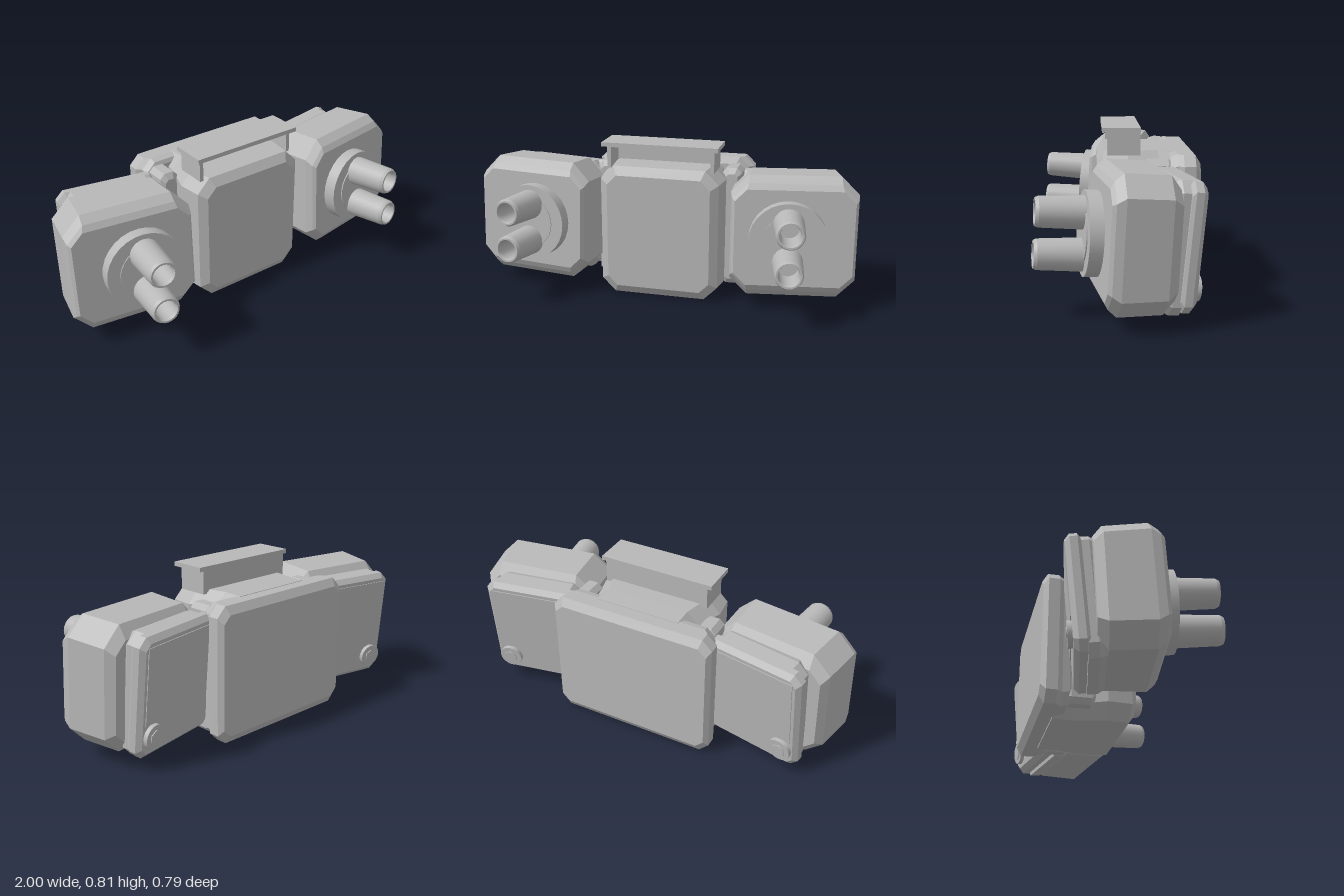
import * as THREE from 'three';

const grey = new THREE.MeshStandardMaterial({ color: 0xb8b8b8 });
grey.name = 'grey';

function add(parent, name, geometry, x = 0, y = 0, z = 0) {
  const mesh = new THREE.Mesh(geometry, grey);
  mesh.name = name;
  mesh.position.set(x, y, z);
  parent.add(mesh);
  return mesh;
}

// Block with chamfered corners: octagonal rings [z, width, height, corner], front to back
function chamferedBlock(rings) {
  const pos = [], index = [];
  for (const [z, w, h, c] of rings) {
    const a = w / 2, b = h / 2;
    const ring = [[a, -b + c], [a, b - c], [a - c, b], [-a + c, b],
      [-a, b - c], [-a, -b + c], [-a + c, -b], [a - c, -b]];
    for (const [x, y] of ring) pos.push(x, y, z);
  }
  const last = (rings.length - 1) * 8;
  for (let r = 0; r < last; r += 8) {
    for (let i = 0; i < 8; i++) {
      const j = (i + 1) % 8;
      index.push(r + i, r + 8 + i, r + j, r + j, r + 8 + i, r + 8 + j);
    }
  }
  for (let i = 1; i < 7; i++) index.push(0, i, i + 1, last, last + i + 1, last + i);
  const g = new THREE.BufferGeometry();
  g.setAttribute('position', new THREE.Float32BufferAttribute(pos, 3));
  g.setIndex(index);
  const flat = g.toNonIndexed();
  flat.computeVertexNormals();
  return flat;
}

// Disc facing along z
function disc(r1, r2, depth, sides) {
  return new THREE.CylinderGeometry(r1, r2, depth, sides).rotateX(Math.PI / 2);
}

// Hollow barrel pointing along +z
function barrel() {
  const profile = [[0.077, 0], [0.070, 0.22], [0.063, 0.235], [0.054, 0.235], [0.05, 0.22], [0.05, 0.08], [0, 0.08]];
  const pts = [];
  profile.forEach(([r, y], i) => {
    pts.push(new THREE.Vector2(r, y));
    // doubled points keep the rim edges crisp
    if (i > 0 && i < profile.length - 1) pts.push(new THREE.Vector2(r, y + 0.0001 * (i < 3 ? 1 : -1)));
  });
  return new THREE.LatheGeometry(pts, 24).rotateX(Math.PI / 2);
}

function sideGroup(parent, name, x, y, z, yaw, pitch) {
  const g = new THREE.Group();
  g.name = name;
  g.position.set(x, y, z);
  g.rotation.set(pitch, yaw, 0, 'YXZ');
  parent.add(g);
  return g;
}

export function createModel() {
  const model = new THREE.Group();
  model.name = 'model';

  // Central body and the wide cover behind it
  add(model, 'centreBody', chamferedBlock([
    [0.10, 0.54, 0.60, 0.05], [0.07, 0.62, 0.69, 0.07], [-0.05, 0.65, 0.695, 0.07],
    [-0.20, 0.56, 0.695, 0.06], [-0.30, 0.54, 0.69, 0.05]]), 0, 0.347, 0);
  add(model, 'backCover', chamferedBlock([
    [-0.24, 0.78, 0.62, 0.05], [-0.25, 0.80, 0.66, 0.05], [-0.285, 0.81, 0.68, 0.05],
    [-0.31, 0.86, 0.68, 0.05], [-0.365, 0.86, 0.68, 0.05], [-0.39, 0.82, 0.60, 0.04]]), 0, 0.35, 0);

  // Top bracket, open at the front
  add(model, 'topPlate', new THREE.BoxGeometry(0.605, 0.022, 0.187), 0, 0.8, -0.018);
  add(model, 'bracketBack', new THREE.BoxGeometry(0.55, 0.11, 0.03), 0, 0.735, -0.095);
  for (const s of [1, -1]) {
    add(model, 'bracketSide', new THREE.BoxGeometry(0.02, 0.12, 0.16), s * 0.27, 0.735, -0.03);
  }

  for (const s of [1, -1]) {
    const side = s > 0 ? 'left' : 'right';

    // Hinge post between the body and the pod
    add(model, side + 'Hinge', chamferedBlock([
      [0.07, 0.06, 0.58, 0.015], [0.05, 0.10, 0.64, 0.025],
      [-0.05, 0.10, 0.64, 0.025], [-0.08, 0.07, 0.60, 0.015]]), s * 0.34, 0.345, -0.19);

    // Pod turned outward and tipped back
    const pod = sideGroup(model, side + 'Pod', s * 0.672, 0.375, -0.05, s * 0.155, -0.055);
    add(pod, 'podShell', chamferedBlock([
      [0.152, 0.59, 0.49, 0.06], [0.135, 0.615, 0.55, 0.08], [0.095, 0.63, 0.62, 0.09],
      [-0.11, 0.60, 0.61, 0.09], [-0.155, 0.55, 0.49, 0.06]]));
    add(pod, 'mountDisc', disc(0.195, 0.195, 0.075, 28), s * -0.03, -0.002, 0.177);
    add(pod, 'innerDisc', disc(0.13, 0.13, 0.008, 28), s * -0.03, -0.002, 0.216);
    for (const v of [1, -1]) {
      add(pod, 'barrel', barrel(), s * -0.03, v * 0.096 - 0.004, 0.2);
    }

    // Rear flap: inner slab, outer plate, raised upper panel and bolt
    const flap = sideGroup(model, side + 'Flap', s * 0.615, 0.35, -0.262, s * 0.19, -0.095);
    add(flap, 'innerSlab', chamferedBlock([
      [0.115, 0.44, 0.56, 0.05], [0.07, 0.48, 0.60, 0.05], [0.02, 0.48, 0.60, 0.05]]), 0, -0.01, 0);
    add(flap, 'outerPlate', chamferedBlock([
      [0.035, 0.50, 0.54, 0.04], [0.02, 0.52, 0.58, 0.04],
      [-0.015, 0.52, 0.58, 0.04], [-0.038, 0.48, 0.53, 0.03]]));
    add(flap, 'upperPanel', new THREE.BoxGeometry(0.45, 0.37, 0.008), 0, 0.062, -0.038);
    const bolt = add(flap, 'bolt', disc(0.06, 0.06, 0.03, 20), s * 0.175, -0.185, -0.044);
    add(bolt, 'boltHead', disc(0.036, 0.036, 0.012, 6), 0, 0, -0.014);
  }
  return model;
}
